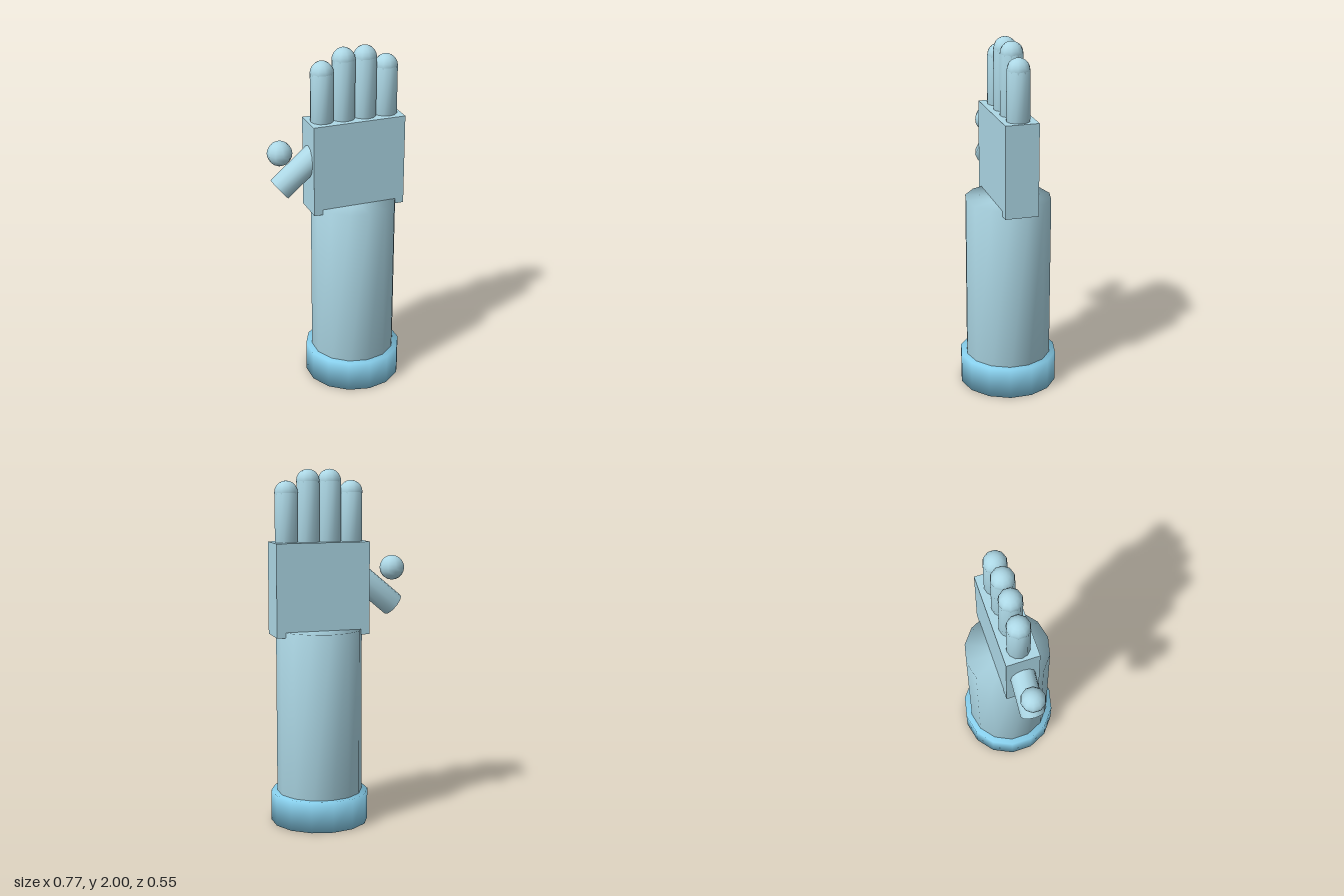
import * as THREE from 'three';
import { mergeVertices } from 'three/addons/utils/BufferGeometryUtils.js';

const skin = new THREE.MeshStandardMaterial({ color: 0xadd8e6 });
const cloth = new THREE.MeshStandardMaterial({ color: 0x87ceeb });

// Closed cylinder whose shading rolls smoothly over the rims
function softCylinder(radius, height, sides) {
  const geometry = new THREE.CylinderGeometry(radius, radius, height, sides);
  geometry.deleteAttribute('normal');
  geometry.deleteAttribute('uv');
  const merged = mergeVertices(geometry);
  merged.computeVertexNormals();
  return merged;
}

// Low-poly ball with corners on the z axis
const ball = (radius) => new THREE.SphereGeometry(radius, 10, 10).rotateY(Math.PI / 2);

export function createModel() {
  const model = new THREE.Group();
  model.name = 'arm';

  const add = (name, geometry, material, x, y, z = 0, parent = model) => {
    const mesh = new THREE.Mesh(geometry, material);
    mesh.name = name;
    mesh.position.set(x, y, z);
    parent.add(mesh);
    return mesh;
  };

  // Cuff and forearm
  const armX = 0.115;
  add('cuff', softCylinder(0.277, 0.175, 14), cloth, armX, 0.0875);
  add('forearm', softCylinder(0.242, 1.01, 14), skin, armX, 0.605);

  // Palm
  add('palm', new THREE.BoxGeometry(0.536, 0.52, 0.188), skin, armX, 1.34);

  // Four fingers, the middle two longer
  const fingerRadius = 0.065;
  [1.873, 1.935, 1.935, 1.873].forEach((tipY, i) => {
    const finger = new THREE.Group();
    finger.name = 'finger' + (i + 1);
    model.add(finger);
    const x = armX + (i - 1.5) * 0.1245;
    const length = tipY - 1.59;
    add('fingerShaft', softCylinder(fingerRadius, length, 12), skin, x, tipY - length / 2, 0, finger);
    add('fingerTip', ball(fingerRadius), skin, x, tipY, 0, finger);
  });

  // Slanted thumb with its detached round tip
  const thumb = add('thumbShaft', softCylinder(0.07, 0.33, 12), skin, -0.197, 1.337);
  thumb.rotation.z = THREE.MathUtils.degToRad(-50);
  add('thumbTip', ball(0.07), skin, -0.318, 1.443);

  return model;
}
